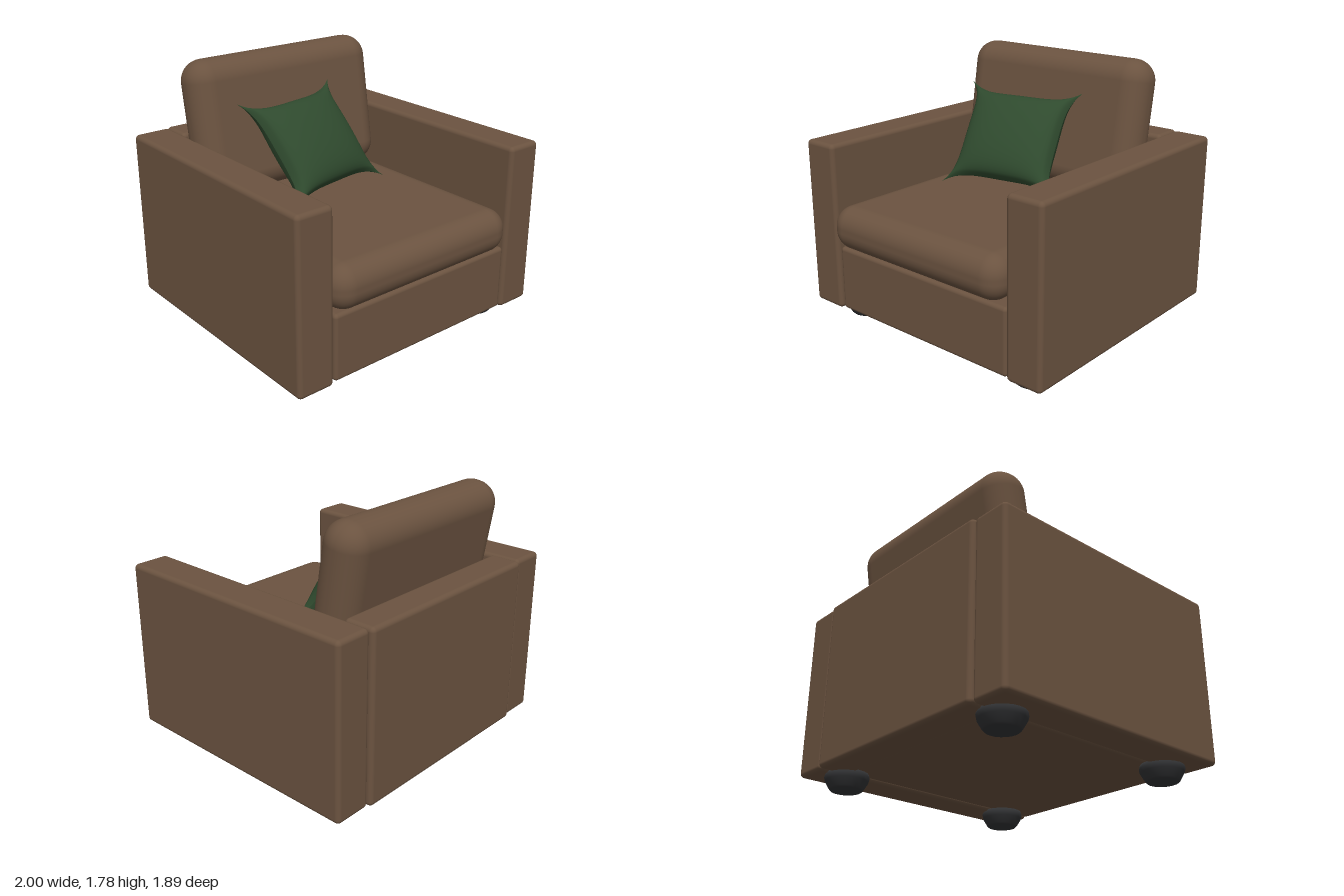
import * as THREE from 'three';
import { mergeGeometries } from 'three/addons/utils/BufferGeometryUtils.js';
import { RoundedBoxGeometry } from 'three/addons/geometries/RoundedBoxGeometry.js';

const material = (color) => new THREE.MeshStandardMaterial({ color });

// Soft-edged block given by its [min, max] extent on each axis
function block(name, [x0, x1], [y0, y1], [z0, z1], radius, mat) {
  const mesh = new THREE.Mesh(new RoundedBoxGeometry(x1 - x0, y1 - y0, z1 - z0, 6, radius), mat);
  mesh.position.set((x0 + x1) / 2, (y0 + y1) / 2, (z0 + z1) / 2);
  mesh.name = name;
  return mesh;
}

// Stuffed square: edges pinched inwards between the corners, both faces bulging
function pillowGeometry(pinch, bulge) {
  const sides = [1, -1].map((side) => {
    const geo = new THREE.PlaneGeometry(2, 2, 28, 28);
    if (side < 0) geo.rotateY(Math.PI);
    const pos = geo.attributes.position;
    for (let i = 0; i < pos.count; i++) {
      const u = pos.getX(i), v = pos.getY(i);
      const fill = Math.max(0, (1 - u * u) * (1 - v * v));
      pos.setXYZ(
        i,
        u * (1 - pinch * (1 - v ** 4) * u * u),
        v * (1 - pinch * (1 - u ** 4) * v * v),
        side * bulge * Math.pow(fill, 0.55)
      );
    }
    return geo;
  });
  return mergeGeometries(sides);
}

export function createModel() {
  const model = new THREE.Group();
  const fabric = material(0x6b5340);
  const green = material(0x2f4a2e);
  const dark = material(0x333436);

  // Frame
  model.add(
    block('leftArm', [0.74, 1], [0.1, 1.26], [-0.925, 0.885], 0.03, fabric),
    block('rightArm', [-1, -0.74], [0.1, 1.26], [-0.925, 0.885], 0.03, fabric),
    block('backPanel', [-0.745, 0.74], [0.1, 1.26], [-0.945, -0.72], 0.03, fabric),
    block('seatBase', [-0.725, 0.735], [0.11, 0.56], [-0.75, 0.875], 0.025, fabric)
  );

  // Cushions
  model.add(block('seatCushion', [-0.75, 0.72], [0.56, 0.86], [-0.72, 0.943], 0.135, fabric));
  const back = block('backCushion', [-0.765, 0.715], [0.845, 1.78], [-0.72, -0.41], 0.148, fabric);
  back.rotation.x = -0.16;
  model.add(back);

  // Feet
  const profile = [[0, 0], [0.1, 0], [0.112, 0.012], [0.14, 0.06], [0.146, 0.085], [0.14, 0.11], [0, 0.11]]
    .map(([r, y]) => new THREE.Vector2(r, y));
  const footGeo = new THREE.LatheGeometry(profile, 20);
  for (const x of [-0.75, 0.75]) {
    for (const z of [-0.715, 0.645]) {
      const foot = new THREE.Mesh(footGeo, dark);
      foot.position.set(x, 0, z);
      foot.name = (z > 0 ? 'front' : 'back') + (x > 0 ? 'Left' : 'Right') + 'Foot';
      model.add(foot);
    }
  }

  // Throw pillow leaning on the back cushion
  const across = new THREE.Vector3(0.436, 0, -0.078);
  const up = new THREE.Vector3(-0.061, 0.314, -0.233);
  const normal = new THREE.Vector3().crossVectors(across, up).normalize();
  const pillowGeo = pillowGeometry(0.22, 0.14);
  pillowGeo.applyMatrix4(new THREE.Matrix4().makeBasis(across, up, normal));
  pillowGeo.computeVertexNormals();
  const pillow = new THREE.Mesh(pillowGeo, green);
  pillow.position.set(-0.08, 1.22, -0.14);
  pillow.name = 'throwPillow';
  model.add(pillow);

  return model;
}
